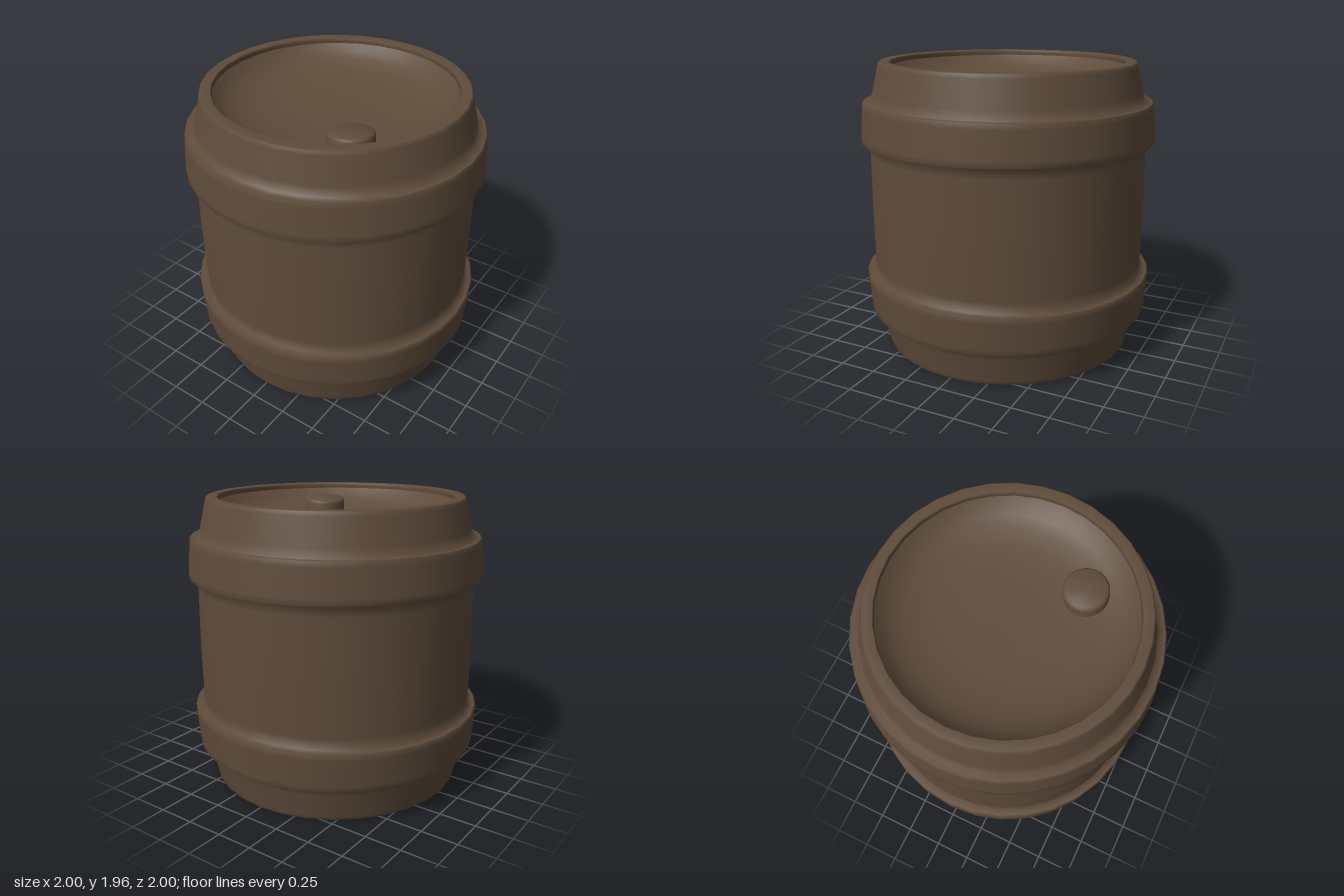
import * as THREE from 'three';
import { toCreasedNormals } from 'three/addons/utils/BufferGeometryUtils.js';

const SIDES = 32;
const BUNG = { x: 0.36, z: 0.36, r: 0.145, tilt: 0.1 };
const END_R = 0.79;

// How far a barrel end is sunk below the rim at a given radius: deepest in the middle
const sink = (r) => 0.2 - 0.085 * r * r - 0.11 * Math.pow(r / END_R, 8);

export function createModel() {
  const barrel = new THREE.Group();
  barrel.name = 'barrel';
  const brown = new THREE.MeshStandardMaterial({ color: 0x5f4c3b });
  brown.name = 'brown wood';

  const add = (name, geometry) => {
    const mesh = new THREE.Mesh(geometry, brown);
    mesh.name = name;
    barrel.add(mesh);
    return mesh;
  };
  const lathe = (profile, sides = SIDES) =>
    new THREE.LatheGeometry(profile.map(([r, y]) => new THREE.Vector2(r, y)), sides);

  // Leans a bung or hollow towards the middle, following the dished end
  const seat = (mesh, y) => {
    mesh.position.set(BUNG.x, y, BUNG.z);
    mesh.quaternion.setFromAxisAngle(new THREE.Vector3(-1, 0, 1).normalize(), BUNG.tilt);
  };

  // Shell: lower chime, two raised hoops, body and upper chime in one turned wall
  add('shell', lathe([
    [0.795, 0.12], [0.79, 0.02], [0.79, 0.006], [0.796, 0], [0.855, 0], [0.865, 0.006],
    [0.87, 0.03], [0.911, 0.2], [0.925, 0.262],
    [0.97, 0.262], [0.98, 0.264], [0.983, 0.3], [0.997, 0.48], [1, 0.52], [0.985, 0.524],
    [0.94, 0.524], [0.941, 0.6], [0.945, 0.98], [0.941, 1.36], [0.94, 1.436],
    [0.985, 1.436], [1, 1.44], [0.997, 1.48], [0.983, 1.66], [0.98, 1.696], [0.97, 1.698],
    [0.925, 1.698], [0.911, 1.76], [0.87, 1.93], [0.865, 1.954], [0.855, 1.96],
    [0.796, 1.96], [0.79, 1.954], [0.79, 1.94], [0.795, 1.84],
  ]));

  // Dished lid sunk below the rim
  const lidRadii = [END_R, 0.75, 0.7, 0.62, 0.5, 0.35, 0.2, 0];
  add('lid', lathe(lidRadii.map((r) => [r, 1.96 - sink(r)])));

  // Round bung standing on the lid
  const { x, z, r } = BUNG;
  const bung = add('bung', toCreasedNormals(lathe([
    [r, -0.03], [r, 0.085], [r - 0.006, 0.098], [r - 0.02, 0.105], [0, 0.105],
  ], 24), 0.9));
  seat(bung, 1.78);

  // Dished base: a ring stretched from the edge of the hollow out to the shell
  const base = new THREE.RingGeometry(1, 2, SIDES * 2, 10).rotateX(Math.PI / 2);
  const pos = base.attributes.position;
  for (let i = 0; i < pos.count; i++) {
    const rho = Math.hypot(pos.getX(i), pos.getZ(i));
    const t = rho - 1;
    const reach = r + (END_R - r) * t;
    const px = (pos.getX(i) / rho) * reach + x * (1 - t);
    const pz = (pos.getZ(i) / rho) * reach + z * (1 - t);
    pos.setXYZ(i, px, sink(Math.hypot(px, pz)), pz);
  }
  base.computeVertexNormals();
  add('base', base);

  // Round hollow in the base
  const hollow = add('baseHollow', toCreasedNormals(lathe([[0, 0.1], [r, 0.1], [r, -0.005]], 32), 0.9));
  seat(hollow, sink(Math.hypot(x, z)));
  hollow.quaternion.invert();

  return barrel;
}
